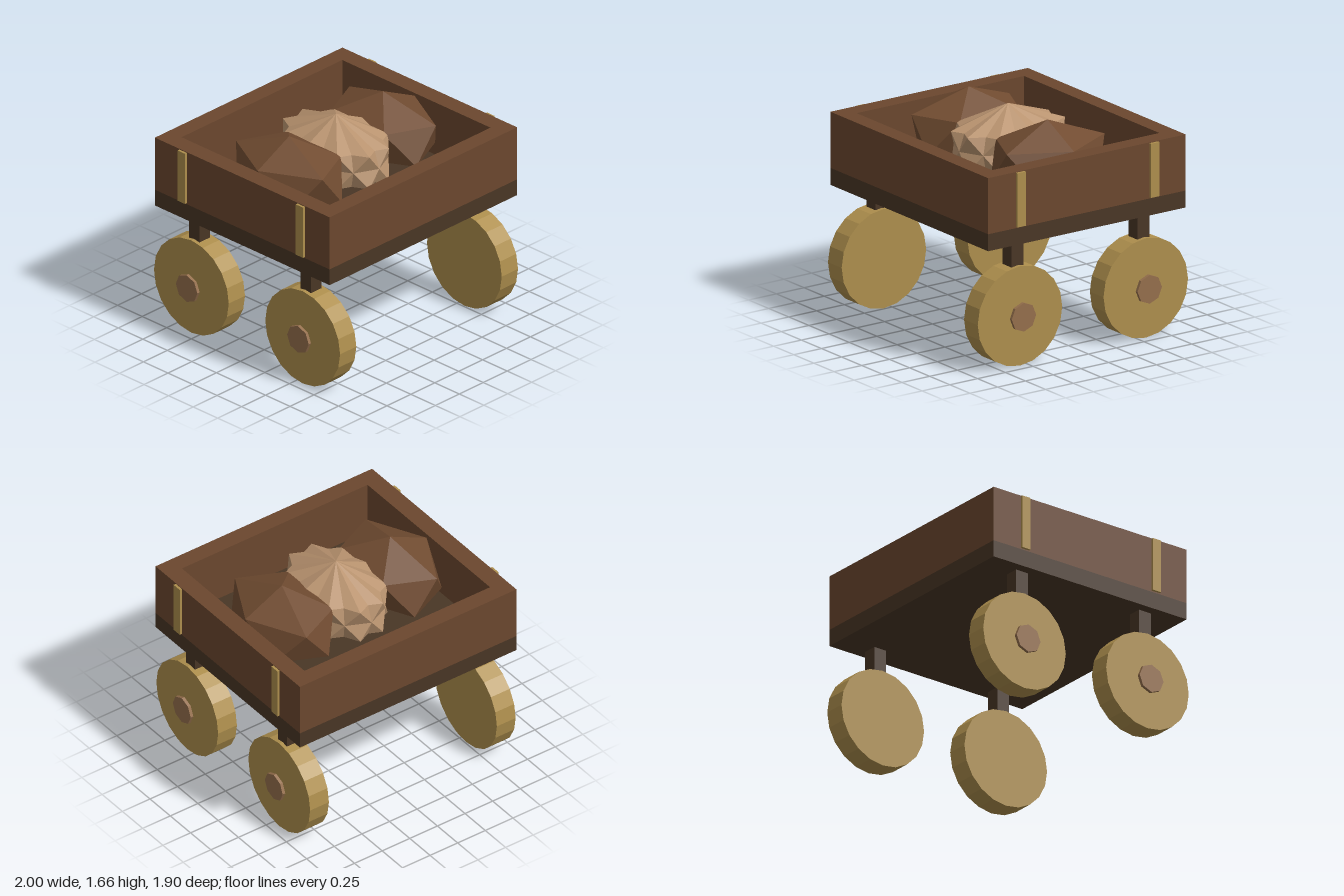
import * as THREE from 'three';
import { ConvexGeometry } from 'three/addons/geometries/ConvexGeometry.js';

function material(name, color) {
  const m = new THREE.MeshStandardMaterial({ color, flatShading: true });
  m.name = name;
  return m;
}

// Icosahedron standing on a vertex, stretched; phase turns the upper ring
function oreGeometry(phase) {
  const [rx, ry, rz] = [0.369, 0.293, 0.518];
  const h = 1 / Math.sqrt(5), r = 2 * h;
  const points = [new THREE.Vector3(0, ry, 0), new THREE.Vector3(0, -ry, 0)];
  for (let i = 0; i < 5; i++) {
    const a = phase + i * Math.PI * 0.4;
    const x = r * rx * Math.cos(a), z = r * rz * Math.sin(a);
    points.push(new THREE.Vector3(x, h * ry, z), new THREE.Vector3(-x, -h * ry, -z));
  }
  return new ConvexGeometry(points);
}

export function createModel() {
  const wood = material('brown wood', 0x6b472e);
  const darkWood = material('dark wood', 0x493625);
  const brass = material('brass', 0xae8f4d);
  const hubMat = material('hub brown', 0x956f4c);
  const oreBrown = material('brown ore', 0x714c31);
  const oreTan = material('tan ore', 0xb9936f);

  const group = new THREE.Group();
  group.name = 'cart';
  const add = (name, geometry, mat, x, y, z) => {
    const mesh = new THREE.Mesh(geometry, mat);
    mesh.name = name;
    mesh.position.set(x, y, z);
    group.add(mesh);
    return mesh;
  };

  // Floor slab
  add('floor', new THREE.BoxGeometry(1.96, 0.13, 1.78), darkWood, 0, 1.015, 0);

  // Four walls as one frame
  const rectangle = (T, w, d) => new T([[-w, -d], [w, -d], [w, d], [-w, d]]
    .map(([x, y]) => new THREE.Vector2(x, y)));
  const frame = rectangle(THREE.Shape, 0.98, 0.89);
  frame.holes.push(rectangle(THREE.Path, 0.84, 0.755));
  const walls = new THREE.ExtrudeGeometry(frame, { depth: 0.43, bevelEnabled: false });
  walls.rotateX(-Math.PI / 2);
  add('walls', walls, wood, 0, 1.08, 0);

  // Wheels, hubs, posts and side straps at the four corners
  const wheel = new THREE.CylinderGeometry(0.381, 0.381, 0.17, 20).rotateZ(Math.PI / 2);
  const hub = new THREE.CylinderGeometry(0.11, 0.11, 0.024, 8).rotateZ(Math.PI / 2);
  const post = new THREE.BoxGeometry(0.11, 0.3, 0.108);
  const strap = new THREE.BoxGeometry(0.03, 0.415, 0.076);
  for (const sx of [-1, 1]) {
    for (const sz of [-1, 1]) {
      const corner = (sz > 0 ? 'front' : 'back') + (sx > 0 ? 'Left' : 'Right');
      add(corner + 'Wheel', wheel, brass, sx * 0.845, 0.381, sz * 0.567);
      add(corner + 'Hub', hub, hubMat, sx * 0.968, 0.383, sz * 0.567);
      add(corner + 'Post', post, darkWood, sx * 0.845, 0.8, sz * 0.567);
      add(corner + 'Strap', strap, brass, sx * 0.985, 1.297, sz * 0.602);
    }
  }

  // Ore load: a mirrored pair outside, two crossed lumps in the middle
  for (const s of [-1, 1]) {
    const ore = oreGeometry(s > 0 ? 0 : Math.PI);
    const side = s > 0 ? 'left' : 'right';
    add(side + 'Ore', ore, oreBrown, s * 0.49, 1.372, 0);
    add(side + 'MiddleOre', ore, oreTan, 0, 1.372, 0);
  }
  return group;
}
